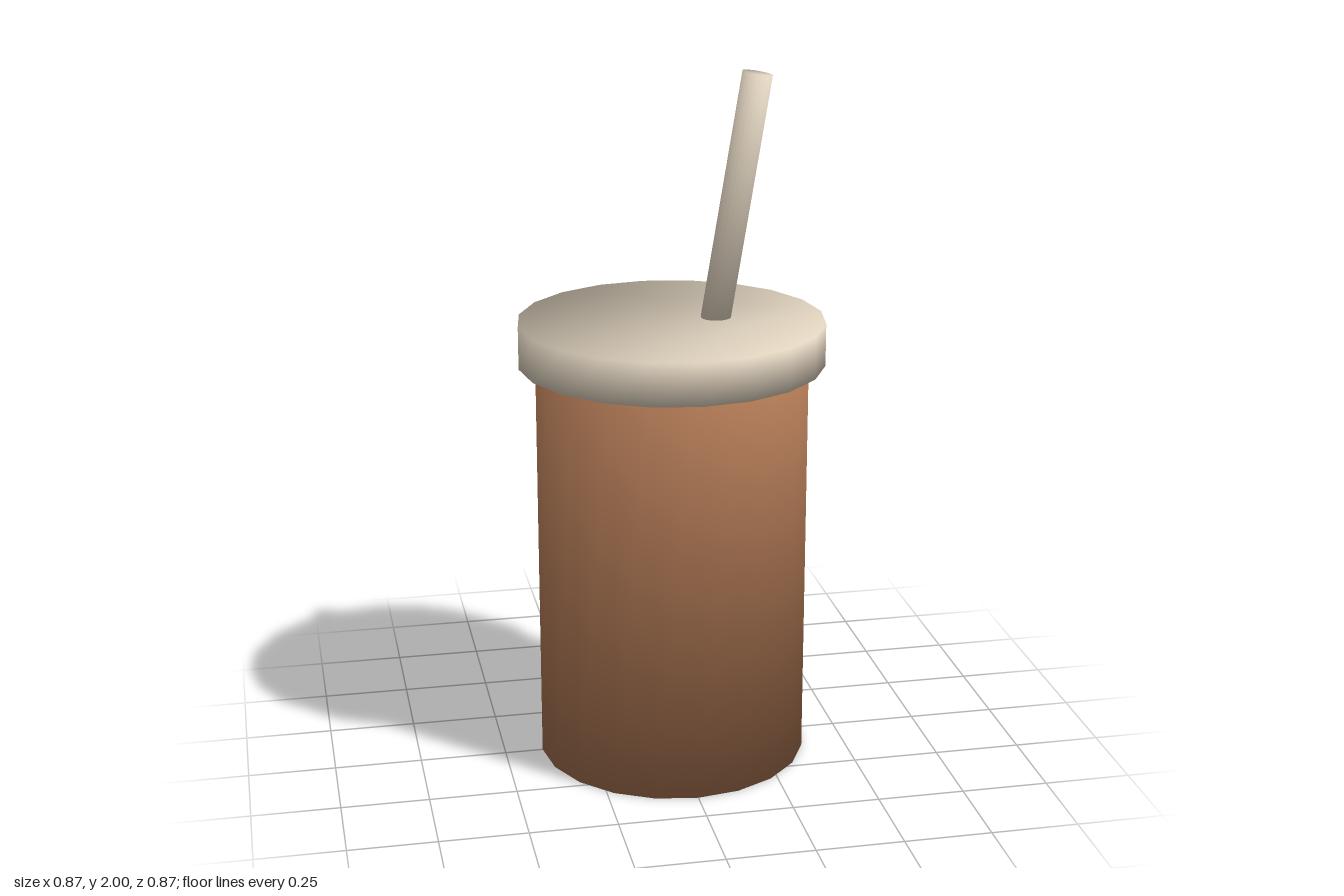
import * as THREE from 'three';

const SIDES = 20;

// Closed 20-sided cylinder standing on y = 0, shaded smoothly over its rims
function softCylinder(radius, height) {
  const positions = [], normals = [], index = [];
  const out = 0.74, up = 0.673; // rim normal, halfway between side and cap
  for (let i = 0; i < SIDES; i++) {
    const a = (i / SIDES) * Math.PI * 2, c = Math.cos(a), s = Math.sin(a);
    positions.push(c * radius, 0, s * radius, c * radius, height, s * radius);
    normals.push(c * out, -up, s * out, c * out, up, s * out);
    const b = 2 * i, n = 2 * ((i + 1) % SIDES);
    index.push(b, b + 1, n, b + 1, n + 1, n);
    // caps as fans from the first rim corner
    if (i > 0 && i < SIDES - 1) index.push(0, b, n, 1, n + 1, b + 1);
  }
  const geometry = new THREE.BufferGeometry();
  geometry.setAttribute('position', new THREE.Float32BufferAttribute(positions, 3));
  geometry.setAttribute('normal', new THREE.Float32BufferAttribute(normals, 3));
  geometry.setIndex(index);
  return geometry;
}

export function createModel() {
  const brown = new THREE.MeshStandardMaterial({ name: 'brown', color: 0xab7552 });
  const cream = new THREE.MeshStandardMaterial({ name: 'cream', color: 0xe0d3bf });

  const group = new THREE.Group();
  group.name = 'drinkCup';

  function addPart(name, radius, height, material) {
    const mesh = new THREE.Mesh(softCylinder(radius, height), material);
    mesh.name = name;
    group.add(mesh);
    return mesh;
  }

  addPart('cup', 0.39, 1.2, brown);

  const lid = addPart('lid', 0.437, 0.123, cream);
  lid.position.y = 1.181;

  // Straw leaning towards +x, starting just inside the lid
  const base = new THREE.Vector3(0.121, 1.26, 0);
  const tip = new THREE.Vector3(0.242, 1.993, 0);
  const axis = tip.clone().sub(base);
  const straw = addPart('straw', 0.0425, axis.length(), cream);
  straw.position.copy(base);
  straw.quaternion.setFromUnitVectors(new THREE.Vector3(0, 1, 0), axis.normalize());

  return group;
}
